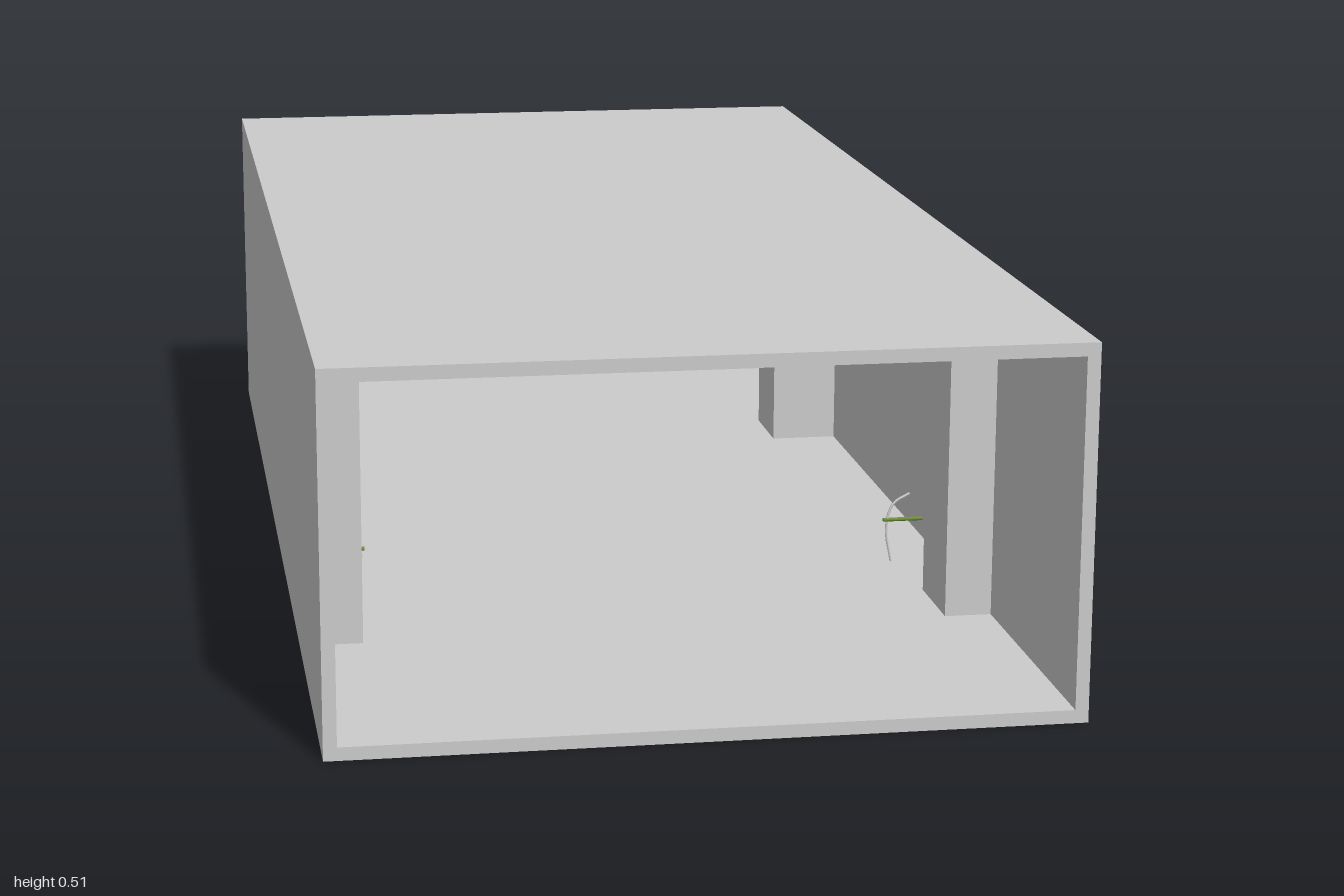
import * as THREE from 'three';

const W = 1, H = 0.51, L = 2, T = 0.018;

export function createModel() {
  const model = new THREE.Group();
  const grey = new THREE.MeshStandardMaterial({ color: 0xcccccc, flatShading: true });
  const green = new THREE.MeshStandardMaterial({ color: 0x0ede58 });
  const olive = new THREE.MeshStandardMaterial({ color: 0x6f8f3a });

  const add = (name, geometry, material = grey, parent = model) => {
    const mesh = new THREE.Mesh(geometry, material);
    mesh.name = name;
    parent.add(mesh);
    return mesh;
  };

  const rect = (path, x, y0, y1) => {
    path.moveTo(-x, y0);
    path.lineTo(x, y0);
    path.lineTo(x, y1);
    path.lineTo(-x, y1);
    path.closePath();
    return path;
  };

  // Rectangular tube: floor, walls and roof in one piece
  const section = rect(new THREE.Shape(), W / 2, 0, H);
  section.holes.push(rect(new THREE.Path(), W / 2 - T, T, H - T));
  add('hallShell', new THREE.ExtrudeGeometry(section, { depth: L, bevelEnabled: false }))
    .position.z = -L / 2;

  // Rear wall, slightly recessed inside the tube
  add('backWall', new THREE.BoxGeometry(W - 2 * T, H - 2 * T, T))
    .position.set(0, H / 2, -L / 2 + 0.008 + T / 2);

  // Portals: pillars and lintel around an open passage
  const portal = (name, halfOpening, top, z, depth) => {
    const x = W / 2 - T;
    const s = new THREE.Shape();
    s.moveTo(-x, T);
    s.lineTo(-halfOpening, T);
    s.lineTo(-halfOpening, top);
    s.lineTo(halfOpening, top);
    s.lineTo(halfOpening, T);
    s.lineTo(x, T);
    s.lineTo(x, H - T);
    s.lineTo(-x, H - T);
    s.closePath();
    add(name, new THREE.ExtrudeGeometry(s, { depth, bevelEnabled: false })).position.z = z;
  };
  portal('frontPortal', 0.415, 0.428, 0.45, 0.13);
  portal('rearPortal', 0.376, 0.43, -0.58, 0.13);

  // Coloured panel on the rear wall
  add('greenPanel', new THREE.BoxGeometry(0.736, 0.405, 0.01), green)
    .position.set(0, 0.2325, -L / 2 + 0.008 + T + 0.005);

  // Thin bent bows with a rod, standing by each side wall
  for (const [side, height, rodY] of [[-1, 0.095, 0.072], [1, 0.105, 0.083]]) {
    const bow = new THREE.Group();
    bow.name = side < 0 ? 'rightBow' : 'leftBow';
    const curve = new THREE.CatmullRomCurve3([
      [0.43, T + height], [0.405, T + height * 0.85], [0.395, T + height * 0.5], [0.403, T],
    ].map(([x, y]) => new THREE.Vector3(side * x, y, 0)));
    add('bowArc', new THREE.TubeGeometry(curve, 20, 0.002, 6), grey, bow);
    const rod = add('bowRod', new THREE.CylinderGeometry(0.003, 0.003, 0.06, 8), olive, bow);
    rod.rotation.z = Math.PI / 2;
    rod.position.set(side * 0.42, rodY, 0);
    bow.position.z = 0.3;
    model.add(bow);
  }
  return model;
}
